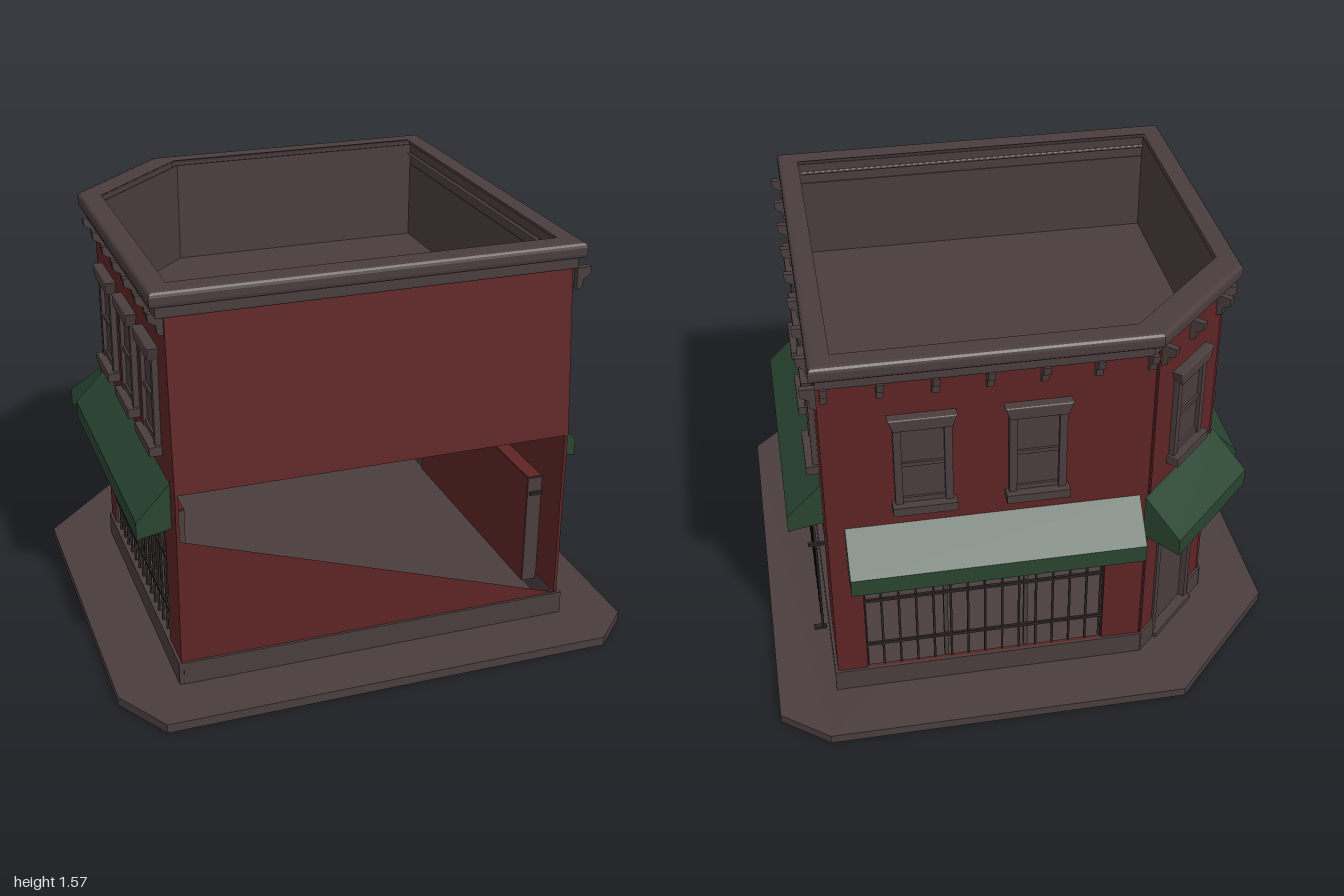
import * as THREE from 'three';

const mat = (name, color, side = THREE.FrontSide) => {
  const m = new THREE.MeshStandardMaterial({ color, side });
  m.name = name;
  return m;
};

export function createModel() {
  const brick = mat('brick red', 0x5e2425, THREE.DoubleSide);
  const stone = mat('warm grey stone', 0x4a3d3d, THREE.DoubleSide);
  const canvas = mat('awning green', 0x294430, THREE.DoubleSide);
  const iron = mat('dark iron', 0x2b2525);

  const root = new THREE.Group();
  root.name = 'cornerShop';
  const add = (parent, name, geo, m) => {
    const mesh = new THREE.Mesh(geo, m);
    mesh.name = name;
    parent.add(mesh);
    return mesh;
  };
  const box = (parent, name, w, h, d, x, y, z, m) =>
    add(parent, name, new THREE.BoxGeometry(w, h, d).translate(x, y, z), m);
  const shapeOf = (pts) => new THREE.Shape(pts.map(([x, y]) => new THREE.Vector2(x, y)));
  const extrude = (shape, depth, bevel = 0) =>
    new THREE.ExtrudeGeometry(shape, {
      depth: depth - 2 * bevel, bevelEnabled: bevel > 0,
      bevelThickness: bevel, bevelSize: bevel, bevelOffset: -bevel, bevelSegments: 3,
    });
  // Plan outlines hold [x, z] pairs; the extrusion rises from y
  const slab = (name, plan, y, height, m, hole, bevel = 0) => {
    const shape = shapeOf(plan.map(([x, z]) => [x, -z]));
    if (hole) shape.holes.push(shapeOf(hole.map(([x, z]) => [x, -z])));
    const g = extrude(shape, height, bevel).translate(0, 0, bevel).rotateX(-Math.PI / 2);
    return add(root, name, g.translate(0, y, 0), m);
  };
  // Plan of the building with its cut corner
  const plan = (x0, x1, z0, z1, cut) =>
    [[x0 + cut, z0], [x1, z0], [x1, z1], [x0, z1], [x0, z0 + cut]];

  // Pavement
  slab('pavement', [[-0.55, -1], [0.82, -1], [1, -0.86], [1, 0.86], [0.86, 1],
    [-0.87, 1], [-1, 0.78], [-1, -0.53]], 0, 0.035, stone);

  // Sunken roof: deck, thin lining sheet and cornice
  const lining = plan(-0.738, 0.72, -0.738, 0.698, 0.4);
  const rim = plan(-0.757, 0.725, -0.762, 0.703, 0.4);
  slab('roofDeck', lining, 1.13, 0.01, stone);
  slab('parapetLining', plan(-0.742, 0.724, -0.742, 0.702, 0.4), 1.13, 0.42, stone, lining);
  slab('lowerCornice', plan(-0.795, 0.767, -0.8, 0.748, 0.4), 1.465, 0.05, stone, rim, 0.008);
  slab('upperCornice', plan(-0.82, 0.787, -0.828, 0.775, 0.4), 1.51, 0.06, stone, rim, 0.018);

  // Front wall: leaning upper storey, sloping broken wall below
  const upper = new THREE.PlaneGeometry(1.52, 0.67);
  for (const i of [0, 1]) upper.attributes.position.setZ(i, -0.06);
  upper.computeVertexNormals();
  add(root, 'frontUpperWall', upper.translate(0.007, 1.145, 0.77), brick);
  add(root, 'frontBrokenWall', new THREE.ShapeGeometry(
    shapeOf([[-0.755, 0.1], [0.77, 0.1], [0.77, 0.12], [-0.755, 0.63]])).translate(0, 0, 0.77), brick);
  box(root, 'frontPlinth', 1.53, 0.09, 0.03, 0.015, 0.08, 0.765, stone);

  // Each facade is built with x along the wall and z pointing outward
  const facade = (name, x, z, angle) => {
    const g = new THREE.Group();
    g.name = name;
    g.position.set(x, 0, z);
    g.rotation.y = angle;
    root.add(g);
    return g;
  };
  const wall = (g, outline, hole) => {
    const shape = shapeOf(outline);
    shape.holes.push(shapeOf(hole));
    add(g, 'wall', extrude(shape, 0.012).translate(0, 0, -0.012), brick);
  };
  const rect = (x0, x1, y0, y1) => [[x0, y0], [x0, y1], [x1, y1], [x1, y0]];
  const plinth = (g, x0, x1) =>
    box(g, 'plinth', x1 - x0, 0.09, 0.025, (x0 + x1) / 2, 0.08, -0.002, stone);

  // Sash window with lintel and sill
  const sash = (g, x, y = 0) => {
    const w = new THREE.Group();
    w.name = 'sashWindow';
    w.position.set(x, y, 0);
    g.add(w);
    box(w, 'pane', 0.17, 0.34, 0.008, 0, 1.09, 0.003, stone);
    for (const s of [-1, 1]) box(w, 'jamb', 0.028, 0.36, 0.024, s * 0.09, 1.09, 0.01, stone);
    box(w, 'meetingRail', 0.15, 0.016, 0.016, 0, 1.095, 0.008, stone);
    box(w, 'bottomRail', 0.15, 0.02, 0.016, 0, 0.94, 0.008, stone);
    add(w, 'lintel', extrude(shapeOf([[-0.105, 1.255], [0.105, 1.255], [0.122, 1.305], [-0.122, 1.305]]),
      0.045, 0.006), stone);
    box(w, 'sill', 0.232, 0.035, 0.05, 0, 0.91, 0.022, stone);
  };

  // Awning shell with closed cheeks
  const awning = (g, x0, x1, out) => {
    const run = (pts, name, from, to) => add(g, name,
      extrude(shapeOf(pts), to - from).rotateY(-Math.PI / 2).translate(to, 0, 0), canvas);
    run([[0, 0.825], [out, 0.69], [out, 0.62], [out - 0.01, 0.62], [out - 0.01, 0.685], [0, 0.81]],
      'awning', x0, x1);
    const cheek = [[0, 0.82], [out - 0.002, 0.69], [out - 0.002, 0.622], [0, 0.645]];
    run(cheek, 'awningCheek', x0, x0 + 0.006);
    run(cheek, 'awningCheek', x1 - 0.006, x1);
  };

  // Curled eaves brackets
  const bracketShape = shapeOf([[0, 1.47], [0.055, 1.47], [0.052, 1.44], [0.025, 1.425],
    [0.022, 1.395], [0, 1.385]]);
  const brackets = (g, x0, x1, n) => {
    for (let i = 0; i < n; i++) {
      const x = x0 + ((x1 - x0) * i) / (n - 1);
      add(g, 'eavesBracket',
        extrude(bracketShape, 0.025).rotateY(-Math.PI / 2).translate(x + 0.0125, 0, 0), stone);
    }
  };

  // Security grille
  const grille = (g, x0, x1, y0, y1, z, n, rails) => {
    for (let i = 0; i < n; i++) {
      const x = x0 + ((x1 - x0) * i) / (n - 1);
      add(g, 'grilleBar', new THREE.CylinderGeometry(0.005, 0.005, y1 - y0, 6)
        .translate(x, (y0 + y1) / 2, z), iron);
    }
    for (const y of rails) box(g, 'grilleRail', x1 - x0, 0.012, 0.01, (x0 + x1) / 2, y, z, iron);
  };
  const posts = (g, xs) => {
    for (const x of xs) box(g, 'shopfrontPost', 0.022, 0.66, 0.02, x, 0.45, -0.04, stone);
  };

  // Right side with a recessed shopfront behind a standing grille
  const right = facade('rightFacade', 0.765, 0, Math.PI / 2);
  wall(right, [[-0.77, 0.1], [0.755, 0.1], [0.755, 1.48], [-0.71, 1.48], [-0.77, 0.81]],
    rect(-0.61, 0.43, 0.1, 0.56));
  box(right, 'recessedPanel', 1.04, 0.46, 0.006, -0.09, 0.33, -0.07, brick);
  box(right, 'recessHead', 1.04, 0.008, 0.07, -0.09, 0.56, -0.036, brick);
  for (const x of [-0.61, 0.43]) box(right, 'recessSide', 0.008, 0.46, 0.07, x, 0.33, -0.036, stone);
  for (const x of [-0.565, 0.385]) box(right, 'shopfrontPost', 0.08, 0.42, 0.012, x, 0.335, -0.062, stone);
  box(right, 'shopfrontSill', 0.9, 0.03, 0.012, -0.09, 0.135, -0.062, stone);
  plinth(right, -0.78, 0.767);
  [-0.38, 0, 0.39].forEach((x, i) => sash(right, x, i === 1 ? -0.006 : 0));
  awning(right, -0.59, 0.49, 0.135);
  brackets(right, -0.74, 0.78, 9);
  grille(right, -0.62, 0.43, 0.06, 0.5, 0.035, 15, [0.495]);
  for (const x of [-0.62, 0.43]) {
    box(right, 'grilleBracket', 0.012, 0.012, 0.13, x, 0.495, 0, iron);
    box(right, 'grilleFoot', 0.02, 0.012, 0.05, x, 0.06, 0.045, iron);
  }

  // Back, open behind its awning
  const back = facade('backFacade', 0, -0.755, Math.PI);
  wall(back, [[-0.765, 0.1], [0.43, 0.1], [0.43, 1.48], [-0.765, 1.48]],
    [[-0.65, 0.125], [-0.65, 0.63], [-0.695, 0.63], [-0.695, 0.81],
      [0.385, 0.81], [0.385, 0.63], [0.27, 0.63], [0.27, 0.125]]);
  plinth(back, -0.777, 0.43);
  for (const x of [-0.41, 0]) sash(back, x);
  awning(back, -0.7, 0.39, 0.135);
  brackets(back, -0.74, 0.4, 7);
  grille(back, -0.65, 0.27, 0.1, 0.63, -0.012, 15, [0.235, 0.455, 0.605]);
  box(back, 'shopfrontHead', 0.92, 0.02, 0.02, -0.19, 0.63, -0.03, stone);
  for (const x of [-0.65, -0.34, -0.03, 0.27]) box(back, 'shopfrontPost', 0.016, 0.52, 0.02, x, 0.37, -0.03, stone);

  // Left side with a closed shopfront
  const left = facade('leftFacade', -0.757, 0, -Math.PI / 2);
  wall(left, [[-0.43, 0.1], [0.77, 0.1], [0.77, 0.81], [0.71, 1.48], [-0.43, 1.48]],
    rect(-0.34, 0.6, 0.125, 0.66));
  box(left, 'shopWindow', 0.94, 0.535, 0.006, 0.13, 0.39, -0.07, stone);
  for (const x of [-0.34, 0.6]) box(left, 'recessSide', 0.008, 0.535, 0.07, x, 0.39, -0.036, stone);
  box(left, 'recessHead', 0.94, 0.008, 0.07, 0.13, 0.66, -0.036, brick);
  for (const x of [-0.02, 0.28]) box(left, 'shopfrontPost', 0.022, 0.535, 0.02, x, 0.39, -0.055, stone);
  plinth(left, -0.43, 0.777);
  for (const x of [-0.2, 0.15, 0.49]) sash(left, x);
  awning(left, -0.39, 0.7, 0.128);
  brackets(left, -0.4, 0.69, 7);
  grille(left, -0.34, 0.6, 0.1, 0.63, -0.008, 15, [0.235, 0.455, 0.605]);

  // Cut corner with the entrance
  const corner = facade('cornerFacade', -0.59, -0.59, -Math.PI * 0.75);
  wall(corner, [[-0.237, 0.036], [0.237, 0.036], [0.237, 1.48], [-0.237, 1.48]],
    rect(-0.14, 0.14, 0.045, 0.64));
  for (const s of [-1, 1]) {
    plinth(corner, s < 0 ? -0.24 : 0.14, s < 0 ? -0.14 : 0.24);
    box(corner, 'doorJamb', 0.025, 0.6, 0.04, s * 0.128, 0.335, -0.012, stone);
  }
  box(corner, 'door', 0.24, 0.48, 0.015, 0, 0.28, -0.025, stone);
  box(corner, 'transomRail', 0.25, 0.025, 0.03, 0, 0.53, -0.015, stone);
  box(corner, 'transomPane', 0.25, 0.1, 0.008, 0, 0.59, -0.025, stone);
  box(corner, 'doorStep', 0.28, 0.02, 0.05, 0, 0.045, 0, stone);
  sash(corner, 0);
  awning(corner, -0.26, 0.26, 0.155);
  brackets(corner, -0.2, 0.2, 3);

  return root;
}
